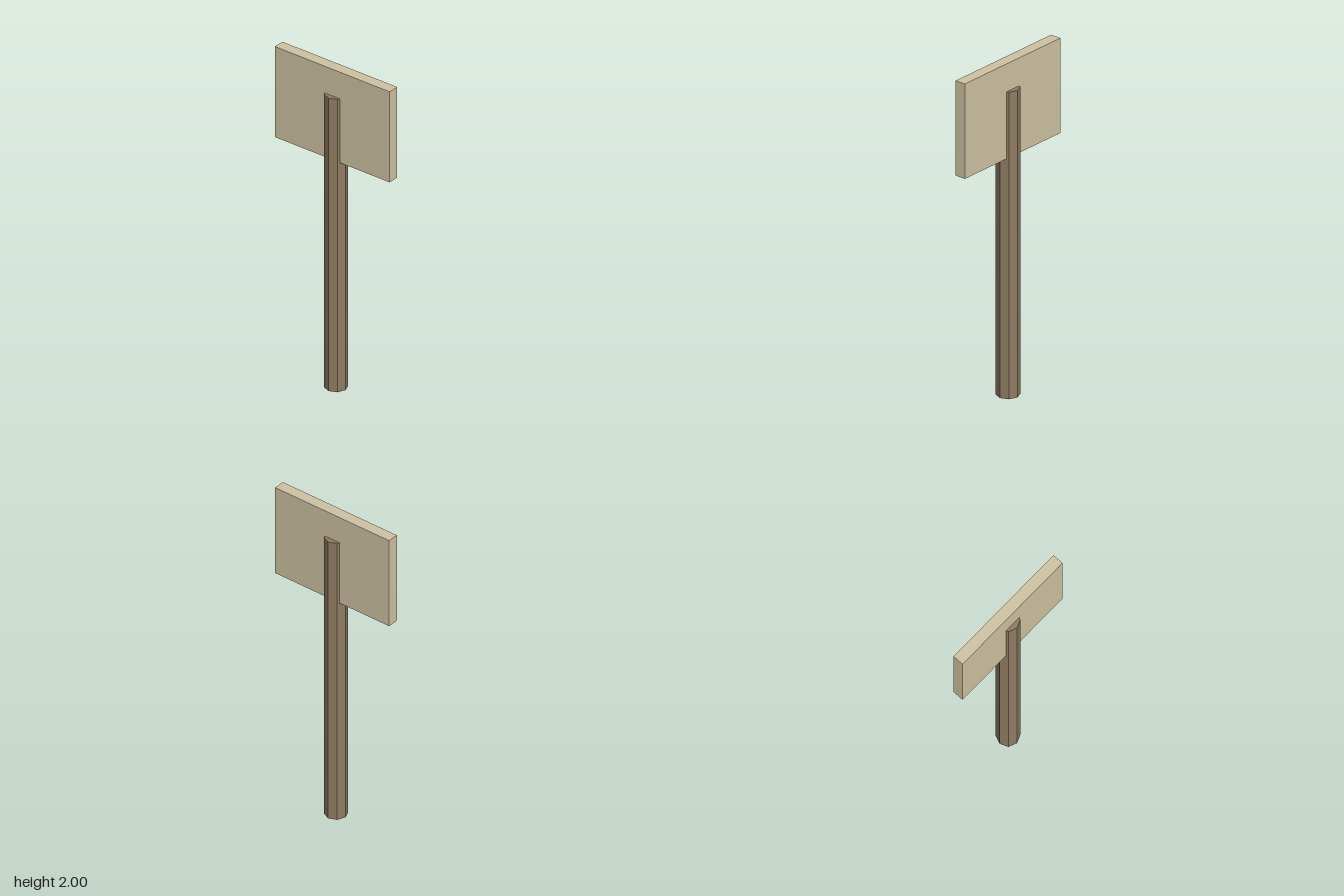
import * as THREE from 'three';

const POST_HEIGHT = 1.833;
const BOARD_HEIGHT = 0.567;

function part(name, geometry, color, y) {
  const material = new THREE.MeshStandardMaterial({ color, flatShading: true });
  const mesh = new THREE.Mesh(geometry, material);
  mesh.name = name;
  mesh.position.y = y;
  return mesh;
}

export function createModel() {
  const model = new THREE.Group();
  model.name = 'signpost';

  // Eight-sided wooden post, corners on the axes
  const post = new THREE.CylinderGeometry(0.067, 0.067, POST_HEIGHT, 8);
  model.add(part('post', post, 0x8f7b62, POST_HEIGHT / 2));

  // Blank board through which the post passes
  const board = new THREE.BoxGeometry(0.8, BOARD_HEIGHT, 0.067);
  model.add(part('signBoard', board, 0xcfc3a3, 2 - BOARD_HEIGHT / 2));

  return model;
}
